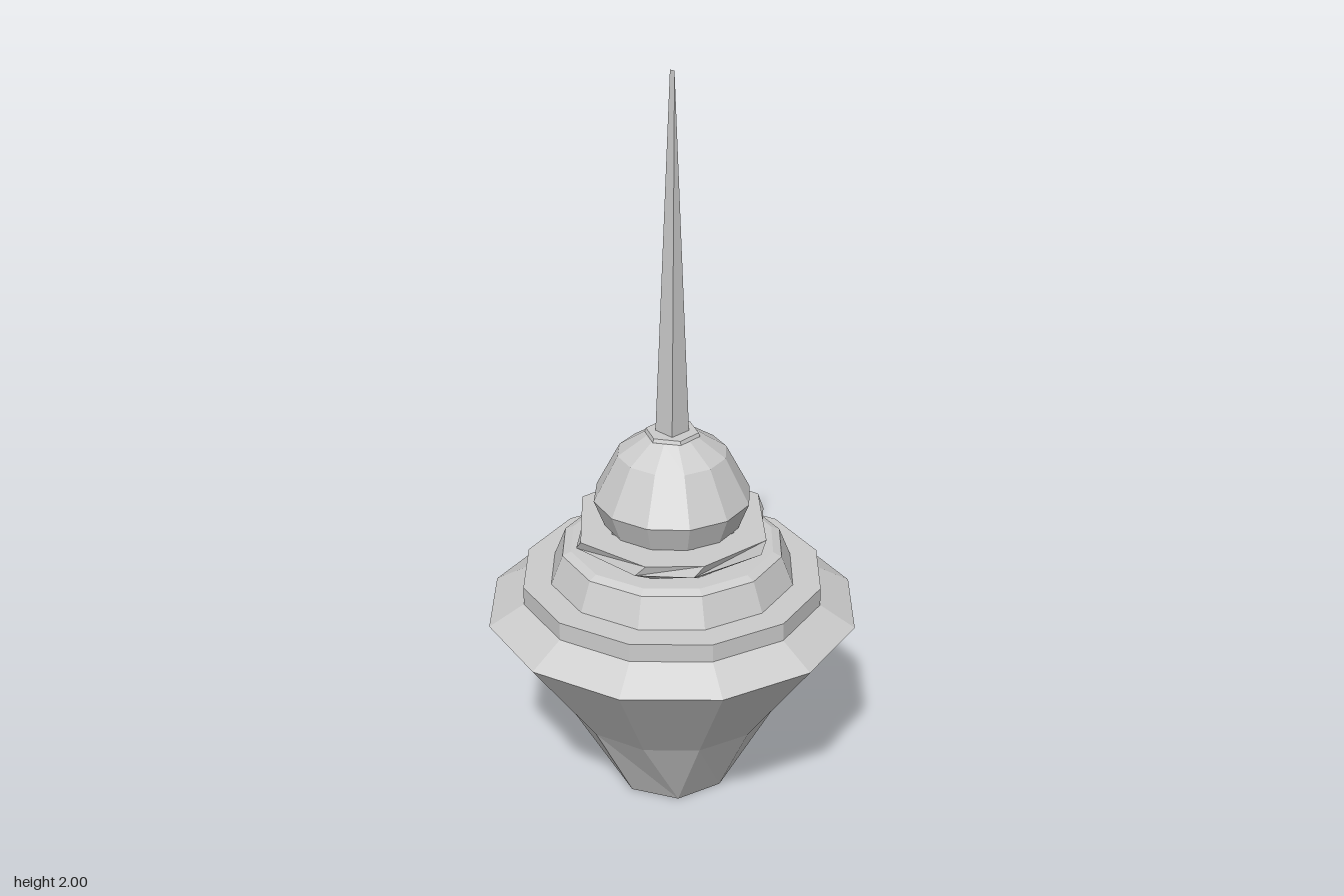
import * as THREE from 'three';

const material = new THREE.MeshStandardMaterial({ color: 0xcccccc, flatShading: true, side: THREE.DoubleSide });

// Faceted turned part from [radius, height] pairs, bottom to top
function turned(name, profile, sides, turn = 0) {
  const points = profile.map(([r, y]) => new THREE.Vector2(r, y));
  const mesh = new THREE.Mesh(new THREE.LatheGeometry(points, sides, turn), material);
  mesh.name = name;
  return mesh;
}

// Lofted disc whose rings share one irregular list of corner angles (degrees from +x towards +z)
function irregularDisc(name, rings, angles) {
  const n = angles.length, positions = [], index = [];
  for (const [r, y, twist] of rings) {
    for (const a of angles) {
      const t = THREE.MathUtils.degToRad(a + twist);
      positions.push(r * Math.cos(t), y, r * Math.sin(t));
    }
  }
  for (let k = 0; k < rings.length - 1; k++) {
    for (let i = 0; i < n; i++) {
      const a = k * n + i, b = k * n + (i + 1) % n;
      index.push(a, a + n, b, b, a + n, b + n);
    }
  }
  const geometry = new THREE.BufferGeometry();
  geometry.setAttribute('position', new THREE.Float32BufferAttribute(positions, 3));
  geometry.setIndex(index);
  geometry.computeVertexNormals();
  const mesh = new THREE.Mesh(geometry, material);
  mesh.name = name;
  return mesh;
}

export function createModel() {
  const model = new THREE.Group();
  model.name = 'spireOrnament';

  // Tapered bowl; its foot narrows from twelve sides to seven
  const bowl = turned('bowl', [[0, 0], [0.155, 0], [0.285, 0.24], [0.5, 0.53], [0.405, 0.585]], 12);
  const p = bowl.geometry.attributes.position;
  const step = Math.PI * 2 / 7;
  for (let i = 0; i < p.count; i++) {
    const r = Math.hypot(p.getX(i), p.getZ(i));
    if (p.getY(i) > 0.01 || r < 0.01) continue;
    const a = Math.round(Math.atan2(p.getX(i), p.getZ(i)) / step) * step;
    p.setXYZ(i, r * Math.sin(a), 0, r * Math.cos(a));
  }
  bowl.geometry.computeVertexNormals();
  model.add(bowl);

  // Stepped tiers
  model.add(turned('lowerTier', [[0.405, 0.585], [0.405, 0.635], [0.33, 0.635]], 12));
  model.add(turned('upperTier', [[0.33, 0.635], [0.298, 0.715], [0.275, 0.725], [0, 0.725]], 12));

  // Uneven collar under the dome
  model.add(irregularDisc('collar',
    [[0.22, 0.725, 0], [0.273, 0.757, 6], [0.273, 0.787, 0], [0.18, 0.787, 0]],
    [-152, -120, -77, -19, 27, 59, 105, 162]));

  // Dome and its cap
  model.add(turned('dome', [[0.165, 0.76], [0.182, 0.788], [0.21, 0.86], [0.145, 0.985], [0.07, 1.035], [0, 1.035]], 12, -0.04));
  model.add(turned('cap', [[0.045, 1.02], [0.074, 1.035], [0.07, 1.045], [0, 1.045]], 6, 0.05));

  // Square spire tapering to a short ridge along x
  const spireGeometry = new THREE.CylinderGeometry(0.011, 0.044, 0.97, 4).rotateY(Math.PI / 4).translate(0, 1.515, 0);
  const s = spireGeometry.attributes.position;
  for (let i = 0; i < s.count; i++) if (s.getY(i) > 1.9) s.setZ(i, 0);
  spireGeometry.computeVertexNormals();
  const spire = new THREE.Mesh(spireGeometry, material);
  spire.name = 'spire';
  model.add(spire);

  return model;
}
